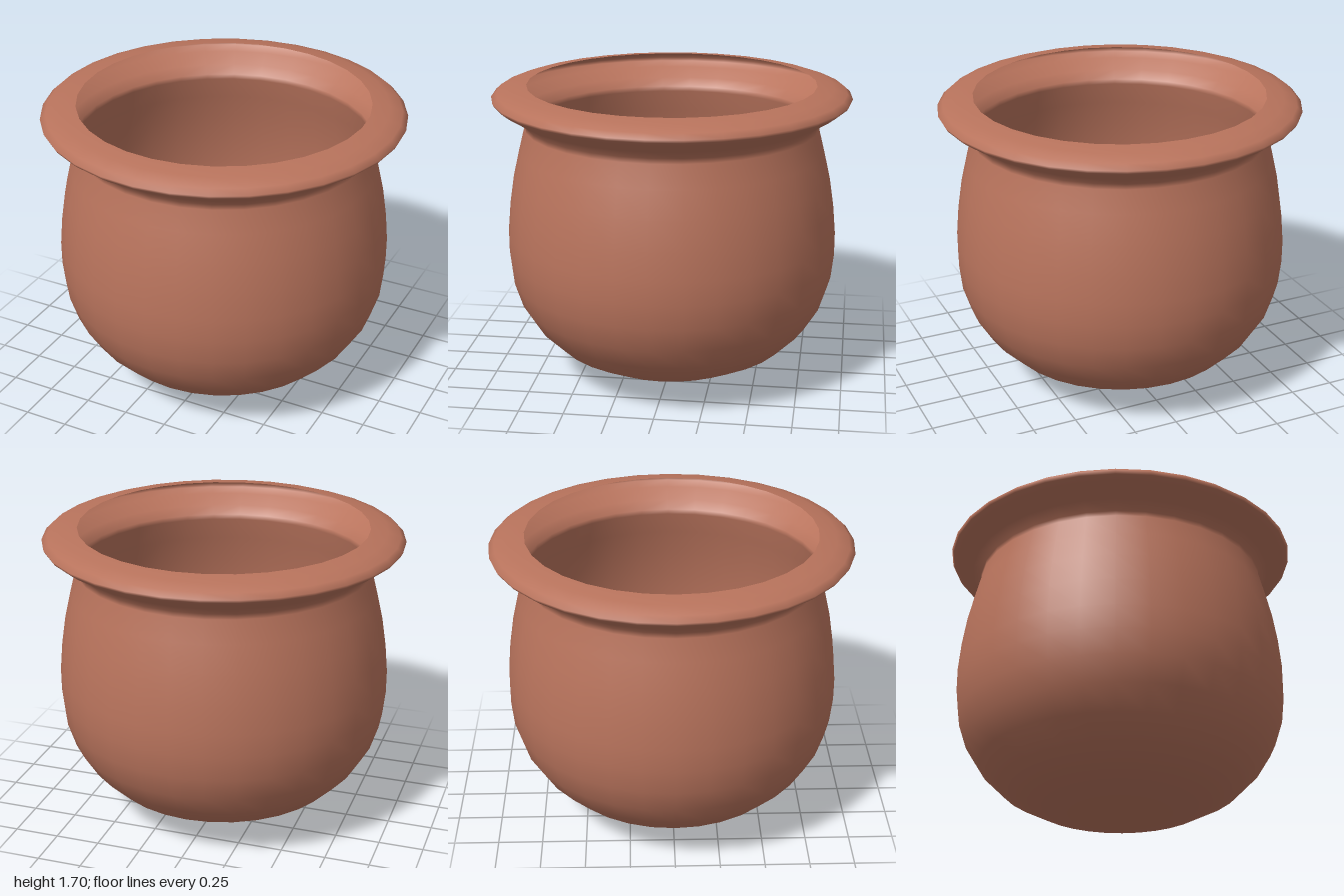
import * as THREE from 'three';

export function createModel() {
  const group = new THREE.Group();
  group.name = 'pot';

  const terracotta = new THREE.MeshStandardMaterial({ color: 0xb8735c, side: THREE.DoubleSide });
  terracotta.name = 'terracotta';

  // Thin shell profile (radius, height): rounded belly, neck, then flared hollow rim
  const profile = [
    [0, 0], [0.04, 0.005], [0.28, 0.05], [0.5, 0.11], [0.67, 0.2], [0.79, 0.32],
    [0.87, 0.45], [0.915, 0.59], [0.93, 0.73], [0.93, 0.86], [0.915, 1.02],
    [0.89, 1.18], [0.855, 1.33], [0.822, 1.46], [0.822, 1.49],
    [0.87, 1.535], [0.95, 1.585], [0.99, 1.615], [1.0, 1.633],
    [0.97, 1.66], [0.9, 1.685], [0.805, 1.697],
  ].map(([r, y]) => new THREE.Vector2(r, y));

  const shell = new THREE.Mesh(new THREE.LatheGeometry(profile, 32), terracotta);
  shell.name = 'potShell';
  group.add(shell);
  return group;
}
